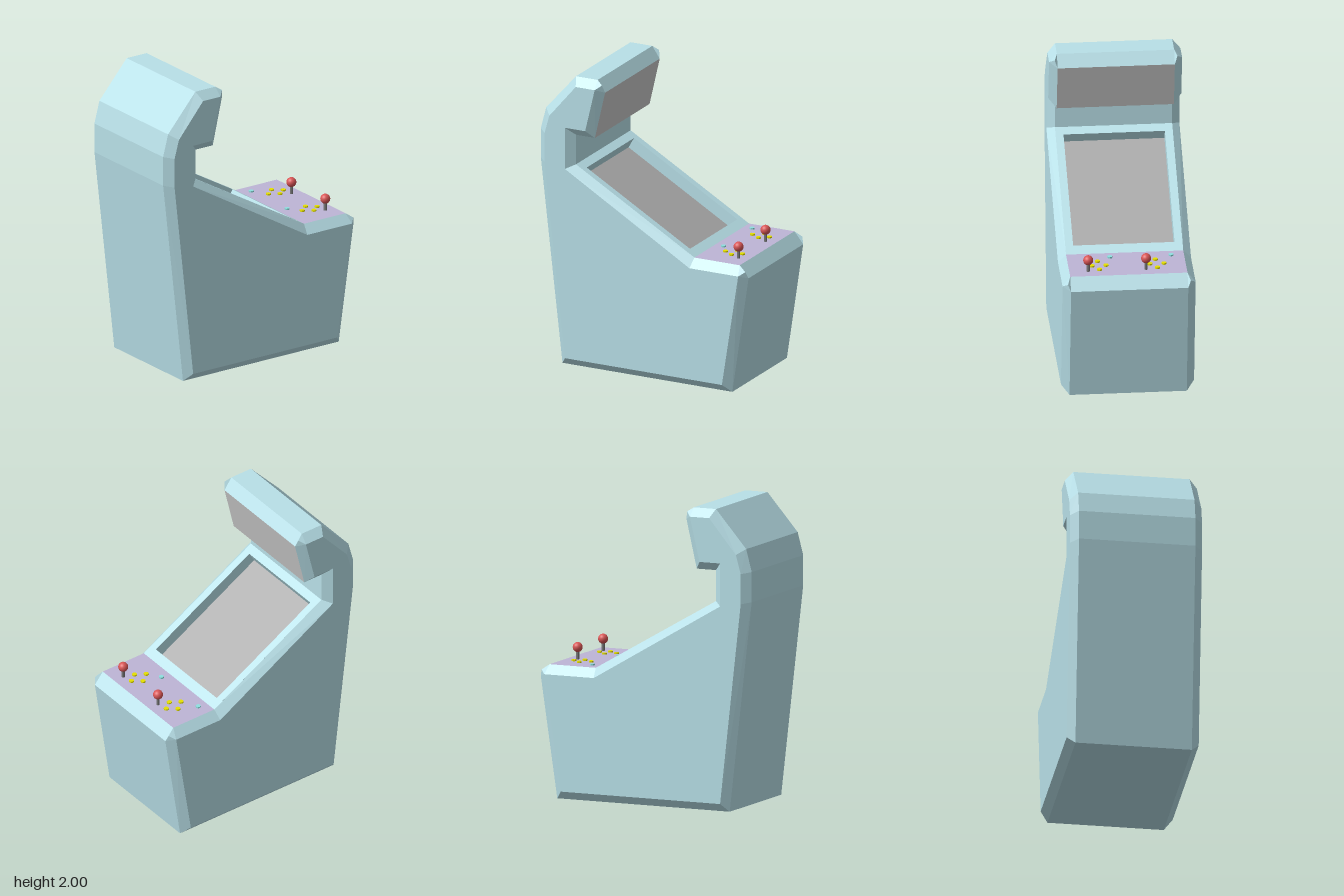
import * as THREE from 'three';

const CORE = 0.385, SIDE = 0.437; // half depth at the bevel's start and at the side faces

// Side profile: [outer x, outer y, inset x, inset y], counterclockwise
const PROFILE = [
  [-0.61, 0, -0.565, 0.055],
  [0.645, 0, 0.595, 0.055],
  [0.765, 0.805, 0.715, 0.825],
  [0.70, 0.885, 0.715, 0.825],
  [0.365, 0.885, 0.355, 0.825],
  [-0.51, 1.39, -0.565, 1.365],
  [-0.51, 1.595, -0.565, 1.65],
  [-0.37, 1.595, -0.415, 1.65],
  [-0.295, 1.92, -0.345, 1.945],
  [-0.35, 2.0, -0.345, 1.945],
  [-0.51, 2.0, -0.485, 1.945],
  [-0.73, 1.75, -0.68, 1.715],
  [-0.77, 1.6, -0.715, 1.59],
  [-0.77, 1.4, -0.715, 1.39],
];
const CONTROL_EDGE = 3, SCREEN_EDGE = 4, MARQUEE_EDGE = 7;
// Clipped front corners, with the point that rounds each one out
const CORNERS = { 2: [0.75, 0.85, 0.403], 8: [-0.309, 1.973, 0.403] };

const mat = (color, side = THREE.FrontSide) =>
  new THREE.MeshStandardMaterial({ color, side, flatShading: true });

// Flat-faced mesh from polygons, each a fan of corners
function facets(name, polygons, material) {
  const pos = [];
  for (const p of polygons)
    for (let i = 1; i < p.length - 1; i++) pos.push(...p[0], ...p[i], ...p[i + 1]);
  const geo = new THREE.BufferGeometry();
  geo.setAttribute('position', new THREE.Float32BufferAttribute(pos, 3));
  geo.computeVertexNormals();
  const mesh = new THREE.Mesh(geo, material);
  mesh.name = name;
  return mesh;
}

// Quad across the cabinet from profile point p to q
const across = (p, q, z0 = -CORE, z1 = CORE) =>
  [[p[0], p[1], z0], [q[0], q[1], z0], [q[0], q[1], z1], [p[0], p[1], z1]];

export function createModel() {
  const group = new THREE.Group();
  const body = mat(0xb8e0e8);
  const edge = (i) => [PROFILE[i], PROFILE[(i + 1) % PROFILE.length]];

  // Cabinet shell, without the faces that have their own parts
  const shell = [], bevel = [];
  PROFILE.forEach((_, i) => {
    const [p, q] = edge(i);
    if (![CONTROL_EDGE, SCREEN_EDGE, MARQUEE_EDGE].includes(i)) shell.push(across(p, q));
    const a = [p[0], p[1], CORE], b = [q[0], q[1], CORE];
    const c = [q[2], q[3], SIDE], d = [p[2], p[3], SIDE];
    const m = CORNERS[i];
    if (m) bevel.push([a, b, m], [b, c, m], [c, a, m]);
    else bevel.push([a, b, c, d]);
  });
  group.add(facets('cabinetShell', shell, body));
  group.add(facets('controlPanel', [across(...edge(CONTROL_EDGE))], mat(0xbdb5d6)));
  group.add(facets('marquee', [across(...edge(MARQUEE_EDGE))], mat(0xcccccc)));

  // Side panels with bevelled rims, mirrored
  const outline = PROFILE.filter((_, i) => !CORNERS[i]).map((p) => new THREE.Vector2(p[2], p[3]));
  const left = new THREE.Group();
  left.name = 'leftSide';
  const panel = new THREE.Mesh(new THREE.ShapeGeometry(new THREE.Shape(outline)), body);
  panel.name = 'sidePanel';
  panel.position.z = SIDE;
  left.add(panel, facets('sideBevel', bevel, body));
  const right = left.clone();
  right.name = 'rightSide';
  right.scale.z = -1;
  group.add(left, right);

  // Sloped bezel around a recessed screen
  const [s0, s1] = edge(SCREEN_EDGE);
  const lo = [0.305, 0.92], hi = [-0.458, 1.36], W = 0.333;
  const sink = ([x, y]) => [x - 0.04, y - 0.07];
  const lo2 = sink(lo), hi2 = sink(hi);
  group.add(facets('screenBezel', [
    across(s0, lo), across(hi, s1),
    across(lo, hi, -CORE, -W), across(lo, hi, W, CORE),
  ], body));
  const wall = (z) => [[...lo, z], [...hi, z], [...hi2, z], [...lo2, z]];
  group.add(facets('screenRecess', [
    across(lo, lo2, -W, W), across(hi2, hi, -W, W), wall(W), wall(-W).reverse(),
  ], mat(0xb8e0e8, THREE.DoubleSide)));
  group.add(facets('screen', [across(lo2, hi2, -W, W)], mat(0xaaaaaa)));

  // Two sets of controls
  const yellow = mat(0xe6e000), cyan = mat(0x8fe0e0), stickMat = mat(0x777777);
  const red = new THREE.MeshStandardMaterial({ color: 0xd95555 });
  const buttonGeo = new THREE.CylinderGeometry(0.017, 0.017, 0.02, 8);
  const stickGeo = new THREE.CylinderGeometry(0.011, 0.011, 0.08, 10);
  const ballGeo = new THREE.SphereGeometry(0.033, 20, 14);
  const top = 0.885;
  const add = (parent, name, geo, material, x, y, z) => {
    const mesh = new THREE.Mesh(geo, material);
    mesh.name = name;
    mesh.position.set(x, y, z);
    parent.add(mesh);
  };
  [-0.195, 0.185].forEach((z, n) => {
    const set = new THREE.Group();
    set.name = 'controls' + (n + 1);
    set.position.z = z;
    for (const [x, dz] of [[0.492, 0.004], [0.555, -0.047], [0.557, 0.045], [0.615, 0]])
      add(set, 'actionButton', buttonGeo, yellow, x, top, dz);
    add(set, 'startButton', buttonGeo, cyan, 0.432, top, n ? -0.082 : -0.104);
    add(set, 'joystickShaft', stickGeo, stickMat, 0.626, top + 0.035, 0.076);
    add(set, 'joystickBall', ballGeo, red, 0.626, 0.965, 0.076);
    group.add(set);
  });
  return group;
}
